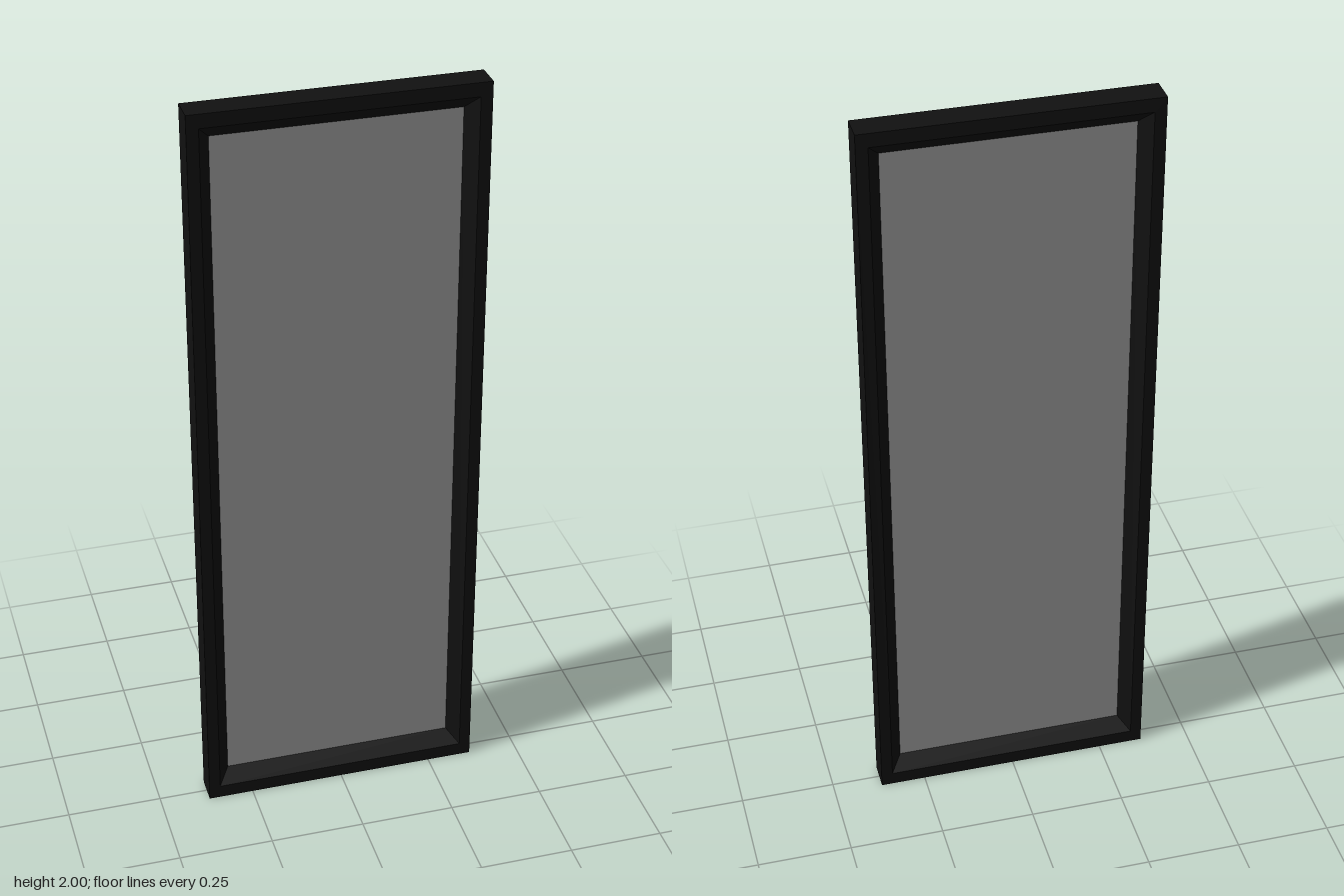
import * as THREE from 'three';

const WIDTH = 0.74, HEIGHT = 2, DEPTH = 0.073;
const BORDER_X = 0.06, BORDER_Y = 0.072; // frame widths: uprights, rails

// Sweeps a closed profile of [inset 0..1, z] points round the rectangle with mitred corners
function mitredFrame(profile) {
  const corners = [[1, -1], [1, 1], [-1, 1], [-1, -1]];
  const point = (k, j) => {
    const [sx, sy] = corners[k % 4];
    const [inset, z] = profile[j % profile.length];
    return [sx * (WIDTH / 2 - inset * BORDER_X), HEIGHT / 2 + sy * (HEIGHT / 2 - inset * BORDER_Y), z];
  };
  const positions = [];
  for (let k = 0; k < 4; k++) {
    for (let j = 0; j < profile.length; j++) {
      const a = point(k, j), b = point(k + 1, j), c = point(k + 1, j + 1), d = point(k, j + 1);
      positions.push(...a, ...b, ...c, ...a, ...c, ...d);
    }
  }
  const geometry = new THREE.BufferGeometry();
  geometry.setAttribute('position', new THREE.Float32BufferAttribute(positions, 3));
  geometry.computeVertexNormals();
  return geometry;
}

export function createModel() {
  const model = new THREE.Group();
  model.name = 'framedPanel';

  // Dark frame: flat lip on both faces, sloping in to the panel
  const h = DEPTH / 2;
  const frame = new THREE.Mesh(
    mitredFrame([[0, -h], [0, h], [0.5, h], [1, 0.002], [1, -0.002], [0.5, -h]]),
    new THREE.MeshStandardMaterial({ color: 0x111111 })
  );
  frame.name = 'frame';
  model.add(frame);

  // Thin grey pane in the middle of the frame's depth
  const pane = new THREE.Mesh(
    new THREE.BoxGeometry(WIDTH - 2 * BORDER_X, HEIGHT - 2 * BORDER_Y, 0.004),
    new THREE.MeshStandardMaterial({ color: 0x999999 })
  );
  pane.name = 'pane';
  pane.position.y = HEIGHT / 2;
  model.add(pane);

  return model;
}
